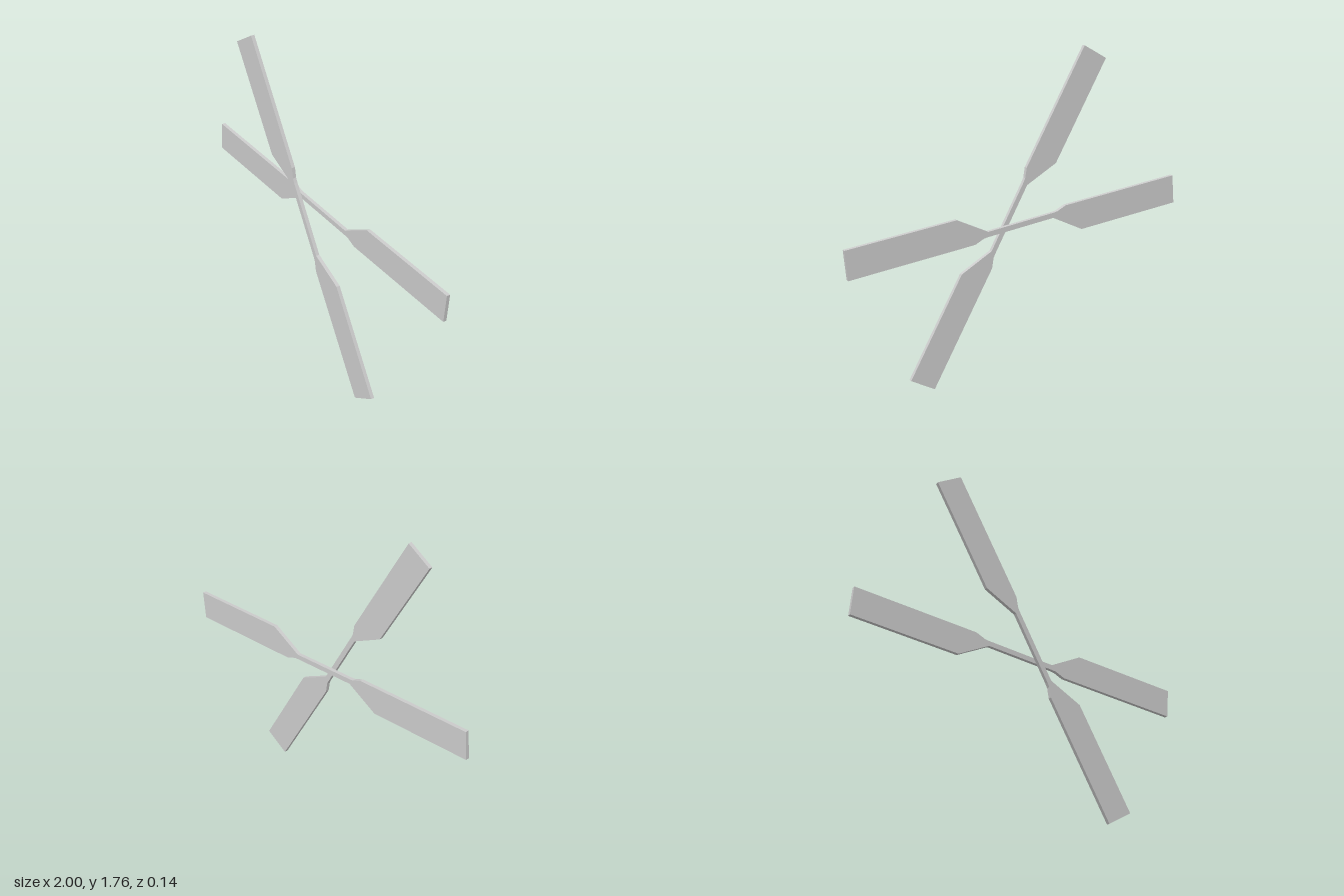
import * as THREE from 'three';

const THICKNESS = 0.02;

// Half outline: thin spar widening into an offset paddle, along +x
const HALF = [
  [0.2, -0.016], [0.226, -0.018], [0.28, -0.038], [0.992, -0.038],
  [0.992, 0.121], [0.372, 0.12], [0.198, 0.012],
];

// Two opposed paddles on one spar, point-symmetric about the hub
function rotorGeometry() {
  const outline = [...HALF, ...HALF.map(([x, y]) => [-x, -y])];
  const shape = new THREE.Shape(outline.map(([x, y]) => new THREE.Vector2(x, y)));
  const geometry = new THREE.ExtrudeGeometry(shape, { depth: THICKNESS, bevelEnabled: false });
  return geometry.translate(0, 0, -THICKNESS / 2);
}

export function createModel() {
  const model = new THREE.Group();
  model.name = 'crossedRotors';
  const material = new THREE.MeshStandardMaterial({ color: 0xcccccc, flatShading: true });
  const geometry = rotorGeometry();

  const addRotor = (name, degrees, y, z) => {
    const rotor = new THREE.Mesh(geometry, material);
    rotor.name = name;
    rotor.rotation.z = THREE.MathUtils.degToRad(degrees);
    rotor.position.set(0, y, z);
    model.add(rotor);
  };

  addRotor('frontRotor', -60, 0.881, 0.06);
  addRotor('backRotor', -5.1, 0.877, -0.06);
  return model;
}
